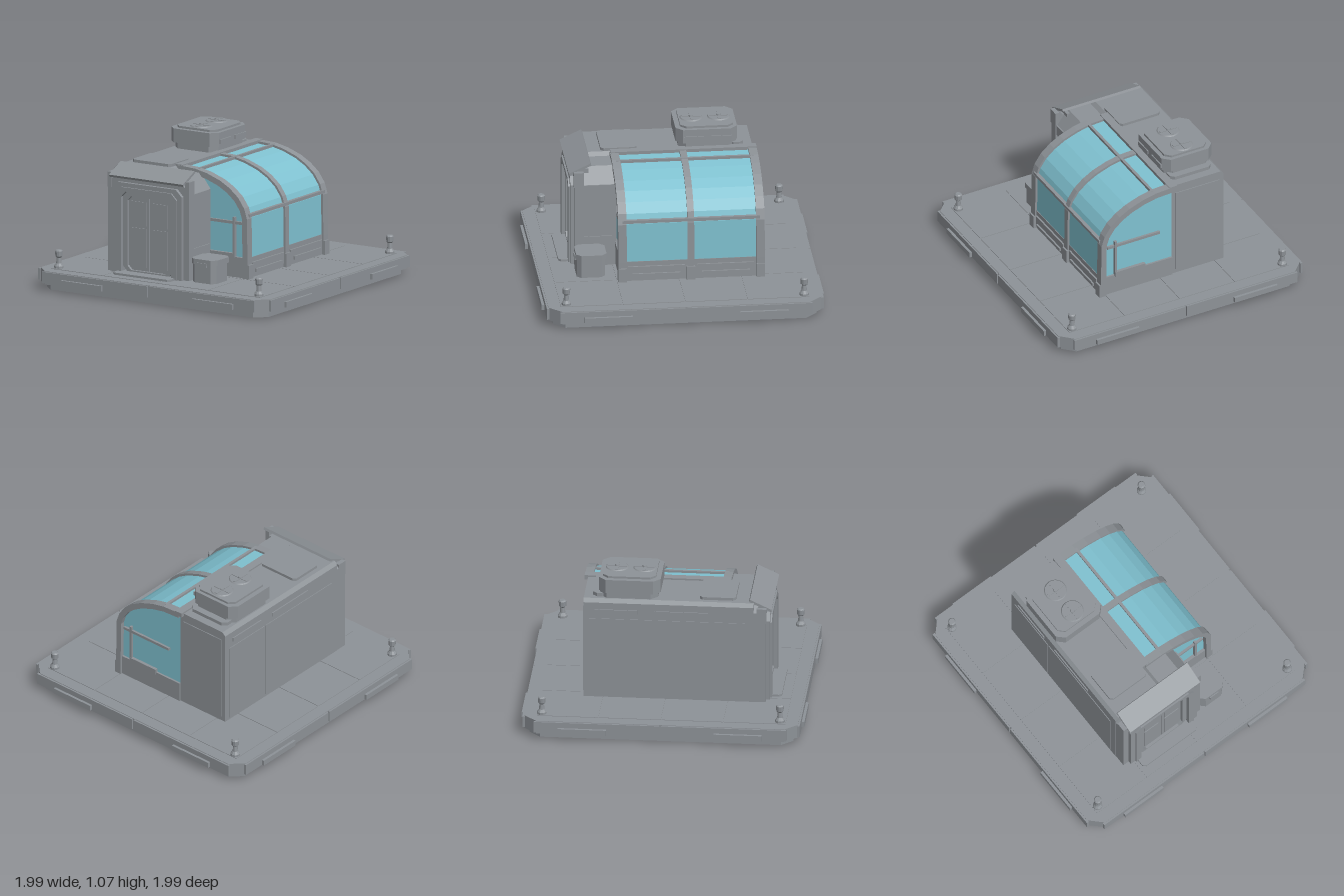
import * as THREE from 'three';

const mat = (name, color, side = THREE.FrontSide) => {
  const m = new THREE.MeshStandardMaterial({ color, side });
  m.name = name;
  return m;
};

export function createModel() {
  const root = new THREE.Group();
  root.name = 'habitatModule';
  const grey = mat('panelGrey', 0x8d9297);
  const glass = mat('glassBlue', 0x7fc1d0);

  const add = (name, geo, m = grey) => {
    const mesh = new THREE.Mesh(geo, m);
    mesh.name = name;
    root.add(mesh);
    return mesh;
  };
  // Box given by its limits on each axis
  const box = (name, x0, x1, y0, y1, z0, z1, m) => add(name,
    new THREE.BoxGeometry(x1 - x0, y1 - y0, z1 - z0)
      .translate((x0 + x1) / 2, (y0 + y1) / 2, (z0 + z1) / 2), m);
  const shapeOf = pts => new THREE.Shape(pts.map(p => new THREE.Vector2(p[0], p[1])));
  // Front outline pushed from z0 to z1
  const slice = (name, pts, z0, z1, m, hole) => {
    const s = shapeOf(pts);
    if (hole) s.holes.push(new THREE.Path(hole.map(p => new THREE.Vector2(p[0], p[1]))));
    return add(name, new THREE.ExtrudeGeometry(s, { depth: z1 - z0, bevelEnabled: false }).translate(0, 0, z0), m);
  };
  // Rectangle with cut corners
  const octagon = (x0, x1, y0, y1, c) => [[x0 + c, y0], [x1 - c, y0], [x1, y0 + c], [x1, y1 - c],
    [x1 - c, y1], [x0 + c, y1], [x0, y1 - c], [x0, y0 + c]];
  // Doorway outline: only the top corners are cut
  const arch = (x0, x1, y0, y1, c) => [[x0, y0], [x1, y0], [x1, y1 - c], [x1 - c, y1], [x0 + c, y1], [x0, y1 - c]];
  // Plan outline with cut corners, raised from y0 to y1
  const slab = (name, x0, x1, z0, z1, y0, y1, c) => add(name,
    new THREE.ExtrudeGeometry(shapeOf(octagon(x0, x1, -z1, -z0, c)), { depth: y1 - y0, bevelEnabled: false })
      .rotateX(-Math.PI / 2).translate(0, y0, 0));

  // Platform
  slab('platformFoot', -0.93, 0.93, -0.93, 0.93, 0, 0.045, 0.08);
  slab('platformDeck', -0.965, 0.965, -0.965, 0.965, 0.04, 0.136, 0.09);
  for (let i = 0; i < 4; i++) for (let j = 0; j < 4; j++) {
    const x = -0.88 + i * 0.44, z = -0.88 + j * 0.44;
    box('deckTile', x + 0.003, x + 0.437, 0.13, 0.14, z + 0.003, z + 0.437);
  }
  for (let k = 0; k < 4; k++) {
    const rot = k * Math.PI / 2;
    for (const s of [-1, 1]) {
      const a = Math.min(s * 0.006, s * 0.89), b = Math.max(s * 0.006, s * 0.89);
      box('edgeStrip', a, b, 0.05, 0.132, 0.96, 0.978).geometry.rotateY(rot);
      box('edgePlate', s * 0.55 - 0.17, s * 0.55 + 0.17, 0.052, 0.092, 0.96, 0.997).geometry.rotateY(rot);
    }
  }

  // Corner bollards
  const post = [[0, 0.13], [0.034, 0.13], [0.034, 0.155], [0.02, 0.175], [0.016, 0.215],
    [0.026, 0.225], [0.028, 0.262], [0.02, 0.27], [0, 0.27]].map(p => new THREE.Vector2(p[0], p[1]));
  for (const x of [-0.84, 0.84]) for (const z of [-0.845, 0.835])
    add('cornerPost', new THREE.LatheGeometry(post, 10).toNonIndexed().translate(x, 0, z)).geometry.computeVertexNormals();

  // Main cabin with wall panels on its flat side
  slice('cabin', arch(-0.515, -0.1, 0.135, 0.885, 0.025), -0.58, 0.62);
  for (const [z0, z1] of [[-0.54, -0.16], [-0.15, 0.56]])
    box('wallPanel', -0.52, -0.51, 0.16, 0.74, z0, z1);
  for (const [z0, z1] of [[-0.5, -0.2], [-0.08, 0.3]])
    box('wallVent', -0.523, -0.51, 0.78, 0.81, z0, z1);
  box('backPanel', -0.48, -0.13, 0.17, 0.82, -0.586, -0.575);

  // Roof hatch
  slab('roofHatch', -0.455, -0.13, 0.235, 0.49, 0.88, 0.905, 0.02);

  // Roof cooling unit with two fans
  slab('coolerBase', -0.48, -0.12, -0.47, -0.06, 0.88, 0.94, 0.05);
  slab('coolerBackStep', -0.46, -0.13, -0.52, -0.42, 0.88, 0.91, 0.03);
  slab('coolerBody', -0.5, -0.1, -0.475, -0.04, 0.93, 1.03, 0.05);
  slab('coolerLid', -0.465, -0.13, -0.45, -0.075, 1.03, 1.045, 0.04);
  for (const z of [-0.36, -0.165]) {
    add('fanRing', new THREE.CylinderGeometry(0.075, 0.082, 0.008, 20).translate(-0.295, 1.048, z));
    add('fanHub', new THREE.CylinderGeometry(0.015, 0.018, 0.016, 10).translate(-0.295, 1.057, z));
    for (let i = 0; i < 4; i++)
      add('fanBlade', new THREE.BoxGeometry(0.055, 0.004, 0.02).translate(0.04, 0, 0)
        .rotateY(i * Math.PI / 2).translate(-0.295, 1.054, z));
    box('coolerVent', -0.11, -0.092, 0.95, 0.98, z - 0.07, z + 0.07);
  }

  // Glass vault outline, and the same outline moved inwards
  const outer = [[-0.1, 0.892], [0.04, 0.884], [0.14, 0.862], [0.25, 0.822], [0.33, 0.776], [0.4, 0.717],
    [0.45, 0.645], [0.474, 0.57], [0.478, 0.28], [0.478, 0.14]];
  const inset = d => outer.map((p, i) => {
    const a = outer[Math.max(i - 1, 0)], b = outer[Math.min(i + 1, outer.length - 1)];
    const dx = b[0] - a[0], dy = b[1] - a[1], l = Math.hypot(dx, dy);
    return [p[0] + dy / l * d, p[1] - dx / l * d];
  });
  const pane = inset(0.016).slice(0, 9);
  slice('glassVault', [[-0.1, 0.28], ...pane].reverse(), -0.575, 0.395, glass);
  const inner = inset(0.042);
  for (const [z0, z1] of [[0.37, 0.43], [-0.107, -0.06], [-0.605, -0.545]])
    slice('vaultRib', [...outer, ...inner.slice().reverse()].reverse(), z0, z1);
  box('vaultSideRail', 0.445, 0.474, 0.578, 0.6, -0.57, 0.4);
  box('vaultTopRail', 0.035, 0.055, 0.855, 0.884, -0.57, 0.4);
  box('vaultRidge', -0.13, -0.07, 0.865, 0.897, -0.605, 0.425);

  // Skirt under the glass
  box('vaultSkirt', -0.1, 0.466, 0.135, 0.285, -0.59, 0.415);
  for (const [z0, z1] of [[-0.04, 0.36], [-0.53, -0.13]]) {
    box('skirtPanel', 0.46, 0.478, 0.17, 0.25, z0, z1);
    box('skirtRail', 0.47, 0.49, 0.175, 0.2, z0 + 0.03, z1 - 0.03);
  }
  for (const z of [0.4, -0.083, -0.575])
    box('ribFoot', 0.46, 0.49, 0.14, 0.24, z - 0.03, z + 0.03);

  // Mullions on both glazed ends
  for (const z of [0.4, -0.58]) {
    box('endCrossbar', 0.0, 0.42, 0.52, 0.54, z - 0.012, z + 0.012);
    box('endUpright', 0.345, 0.362, 0.28, 0.57, z - 0.016, z + 0.016);
    box('endSill', 0.12, 0.36, 0.27, 0.31, z - 0.018, z + 0.018);
  }

  // Entrance lobby
  slice('lobby', [[-0.512, 0.135], [0.155, 0.135], [0.155, 0.75], [0.07, 0.86], [-0.47, 0.86], [-0.512, 0.82]], 0.41, 0.65);
  box('lobbySidePanelTop', 0.15, 0.163, 0.67, 0.75, 0.43, 0.65);
  box('lobbySidePanelBase', 0.15, 0.163, 0.14, 0.36, 0.43, 0.65);

  // Stepped doorway frames
  const hole = arch(-0.38, 0.04, 0.15, 0.73, 0.04);
  slice('outerDoorFrame', arch(-0.512, 0.168, 0.135, 0.825, 0.055), 0.64, 0.705, grey, hole);
  slice('middleDoorFrame', arch(-0.465, 0.122, 0.135, 0.79, 0.05), 0.7, 0.73, grey, hole);
  slice('innerDoorFrame', arch(-0.425, 0.085, 0.135, 0.76, 0.045), 0.73, 0.742, grey, hole);
  slice('doorRim', octagon(-0.38, 0.04, 0.15, 0.73, 0.04), 0.66, 0.715, grey, octagon(-0.342, 0.002, 0.165, 0.695, 0.03));
  for (const [x0, x1] of [[-0.345, -0.173], [-0.167, 0.005]]) {
    box('doorLeaf', x0, x1, 0.15, 0.71, 0.65, 0.695);
    box('doorLeafPanel', x0 + 0.025, x1 - 0.025, 0.19, 0.47, 0.69, 0.701);
    box('doorLeafUpperPanel', x0 + 0.025, x1 - 0.025, 0.49, 0.66, 0.69, 0.701);
  }
  slab('doorStep', -0.41, 0.07, 0.65, 0.81, 0.135, 0.155, 0.02);

  // Sloping awning with end brackets
  add('awning', new THREE.BoxGeometry(0.62, 0.018, 0.168).rotateX(0.44).translate(-0.17, 0.864, 0.664));
  box('awningSupport', -0.46, 0.1, 0.8, 0.85, 0.6, 0.68);
  for (const x of [-0.497, 0.155])
    box('awningBracket', x - 0.016, x + 0.016, 0.74, 0.85, 0.64, 0.71);

  // Supply crate beside the lobby
  slab('crate', 0.185, 0.38, 0.51, 0.71, 0.135, 0.275, 0.03);
  slab('crateLid', 0.175, 0.39, 0.5, 0.715, 0.27, 0.31, 0.035);
  box('crateLatch', 0.245, 0.32, 0.255, 0.285, 0.7, 0.722);

  return root;
}
